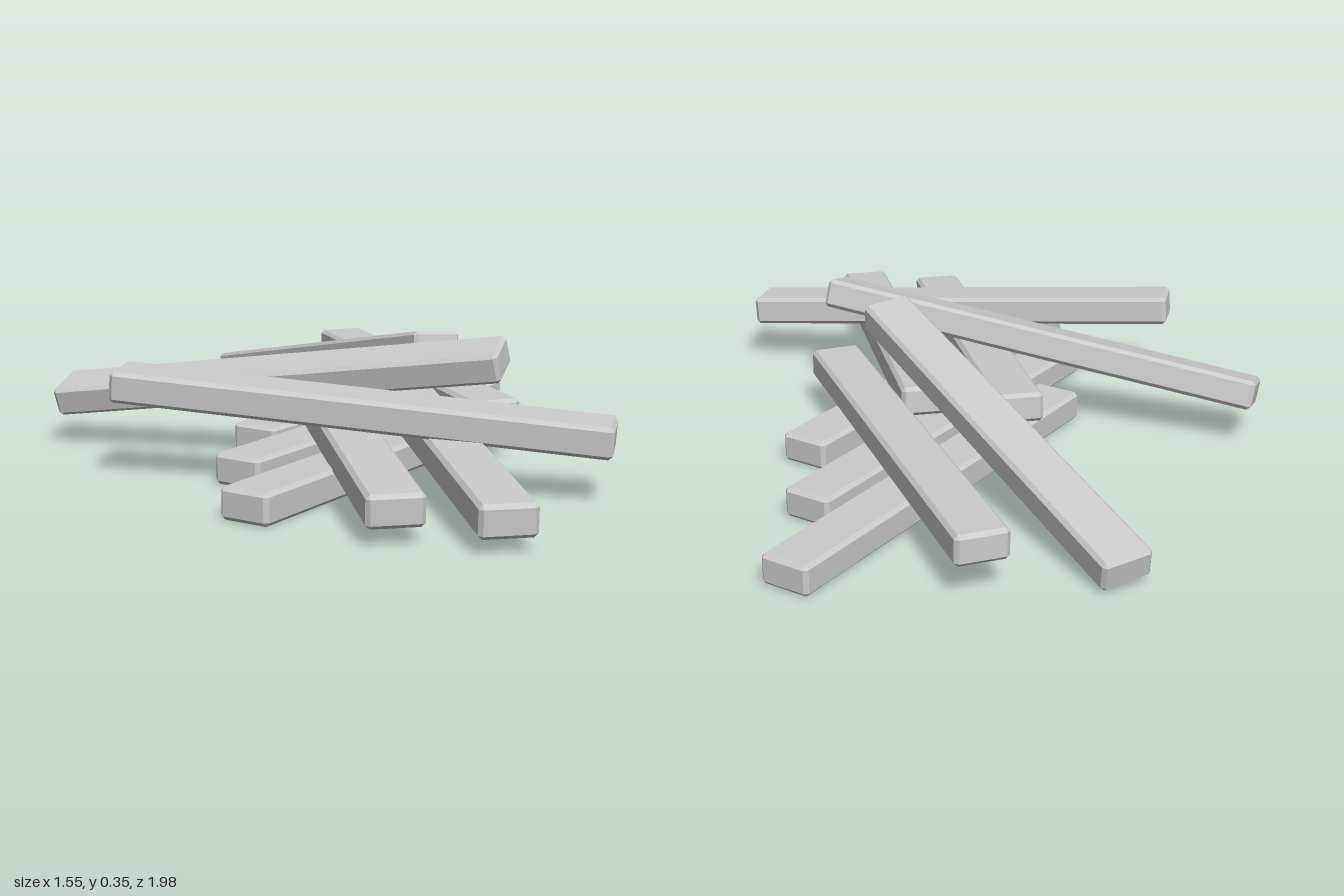
import * as THREE from 'three';
import { ConvexGeometry } from 'three/addons/geometries/ConvexGeometry.js';

const WIDTH = 0.136, HEIGHT = 0.08, BEVEL = 0.01;

// Box with every edge and corner chamfered, long side on z
function plankGeometry(length) {
  const points = [];
  const half = [WIDTH / 2, HEIGHT / 2, length / 2];
  for (const sx of [-1, 1]) for (const sy of [-1, 1]) for (const sz of [-1, 1]) {
    for (let full = 0; full < 3; full++) {
      const p = half.map((h, i) => (i === full ? h : h - BEVEL));
      points.push(new THREE.Vector3(sx * p[0], sy * p[1], sz * p[2]));
    }
  }
  return new ConvexGeometry(points);
}

// Plank running between the centres of its two ends, rolled about its length
function makePlank(name, from, to, roll, material) {
  const a = new THREE.Vector3(...from), b = new THREE.Vector3(...to);
  const zAxis = b.clone().sub(a).normalize();
  const xAxis = new THREE.Vector3(0, 1, 0).cross(zAxis).normalize();
  const yAxis = zAxis.clone().cross(xAxis);
  const mesh = new THREE.Mesh(plankGeometry(a.distanceTo(b)), material);
  mesh.quaternion.setFromRotationMatrix(new THREE.Matrix4().makeBasis(xAxis, yAxis, zAxis));
  mesh.rotateZ(roll);
  mesh.position.copy(a).add(b).multiplyScalar(0.5);
  mesh.name = name;
  return mesh;
}

export function createModel() {
  const group = new THREE.Group();
  group.name = 'plankPile';
  const material = new THREE.MeshStandardMaterial({ color: 0xcccccc, flatShading: true });

  const planks = [
    // three parallel planks flat on the ground
    ['groundPlankBack', [0.193, 0.043, -0.98], [-0.214, 0.043, 0.2], 0],
    ['groundPlankMiddle', [0.257, 0.043, -0.635], [-0.151, 0.043, 0.55], 0],
    ['groundPlankFront', [0.373, 0.043, -0.317], [-0.034, 0.043, 0.863], 0],
    // two parallel planks sloping down to the front
    ['slopingPlankRight', [-0.18, 0.163, -0.17], [0.347, 0.082, 0.958], 0],
    ['slopingPlankLeft', [0.07, 0.16, -0.17], [0.595, 0.076, 0.958], 0],
    // two planks reaching out to the back, one level and one leaning on it
    ['levelBackPlank', [-0.26, 0.13, -0.9], [0.429, 0.13, 0.135], 0],
    ['leaningBackPlank', [-0.574, 0.053, -0.786], [0.267, 0.302, 0.106], -0.08],
    // two planks lying across the top
    ['crossPlankBack', [-0.772, 0.135, 0.155], [0.463, 0.3, 0.245], 0.25],
    ['crossPlankFront', [-0.478, 0.247, 0.503], [0.767, 0.158, 0.45], 0.05],
  ];
  for (const [name, from, to, roll] of planks) {
    group.add(makePlank(name, from, to, roll, material));
  }
  return group;
}
